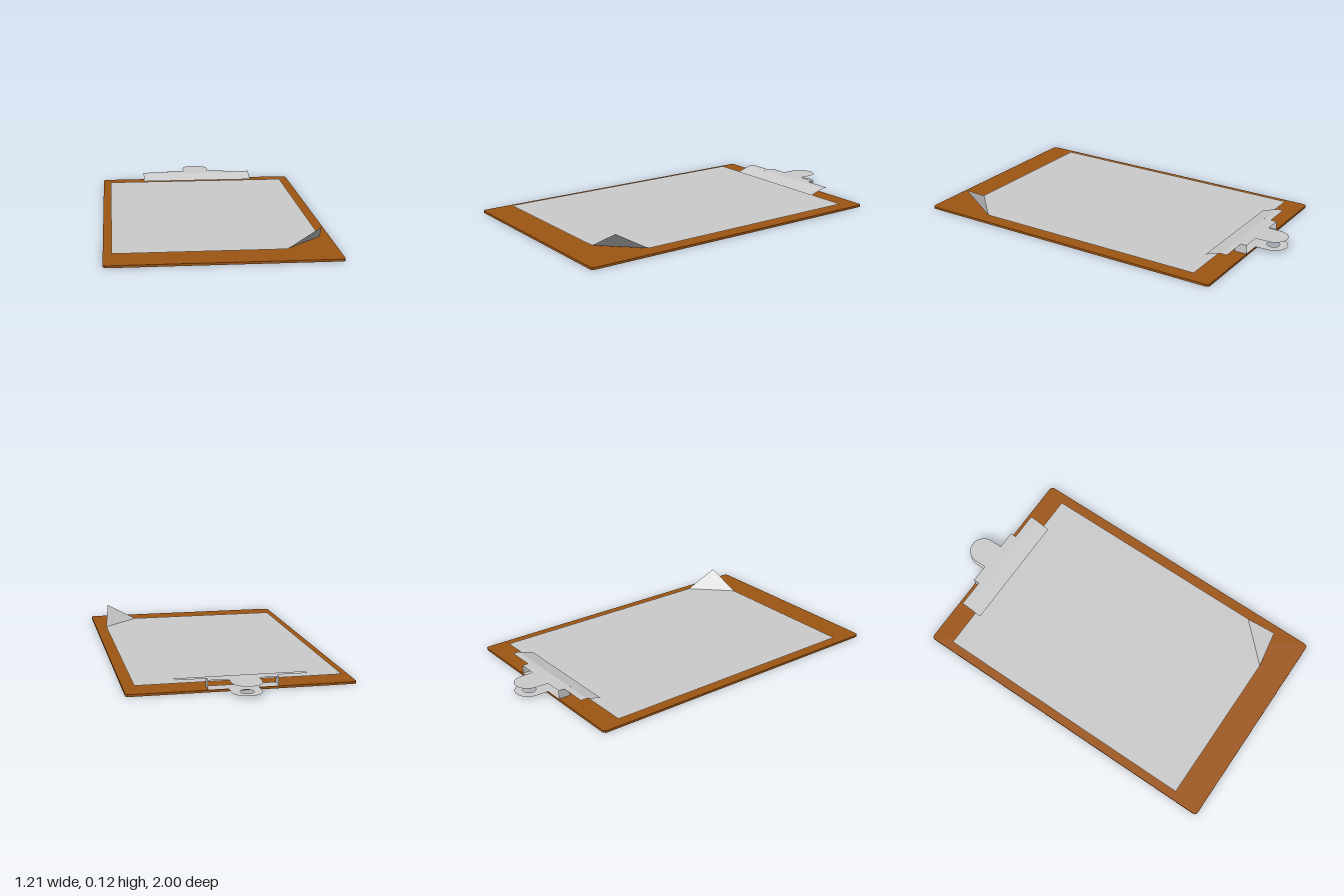
import * as THREE from 'three';

const wood = new THREE.MeshStandardMaterial({ color: 0x9e5513, flatShading: true });
const sheet = new THREE.MeshStandardMaterial({ color: 0xcccccc, side: THREE.DoubleSide, flatShading: true });

function part(name, geometry, material = sheet) {
  const mesh = new THREE.Mesh(geometry, material);
  mesh.name = name;
  return mesh;
}

const outline = (points) => new THREE.Shape(points.map(([a, b]) => new THREE.Vector2(a, b)));

// Lays an (x, z) shape flat at height y, facing up
function flat(shape, y) {
  const g = new THREE.ShapeGeometry(shape, 16).toNonIndexed();
  const p = g.attributes.position;
  for (let i = 0; i < p.count; i += 3) {
    const c = [0, 2, 1].map((k) => [p.getX(i + k), p.getY(i + k)]);
    c.forEach(([x, z], k) => p.setXYZ(i + k, x, y, z));
  }
  g.computeVertexNormals();
  return g;
}

function polygon(corners) {
  const g = new THREE.BufferGeometry();
  g.setAttribute('position', new THREE.Float32BufferAttribute(corners.flat(), 3));
  g.setIndex(corners.length === 3 ? [0, 1, 2] : [0, 1, 2, 0, 2, 3]);
  g.computeVertexNormals();
  return g;
}

function createBoard() {
  const w = 0.605, back = -0.85, front = 1, r = 0.022;
  const s = new THREE.Shape();
  s.moveTo(-w + r, back);
  s.lineTo(w - r, back);
  s.quadraticCurveTo(w, back, w, back + r);
  s.lineTo(w, front - r);
  s.quadraticCurveTo(w, front, w - r, front);
  s.lineTo(-w + r, front);
  s.quadraticCurveTo(-w, front, -w, front - r);
  s.lineTo(-w, back + r);
  s.quadraticCurveTo(-w, back, -w + r, back);
  const g = new THREE.ExtrudeGeometry(s, { depth: 0.012, bevelEnabled: false, curveSegments: 3 });
  g.rotateX(Math.PI / 2).translate(0, 0.012, 0);
  return part('board', g, wood);
}

function createPaper() {
  const paper = new THREE.Group();
  paper.name = 'paper';
  const y = 0.022;
  paper.add(part('paperSheet', flat(outline([
    [-0.56, -0.73], [0.545, -0.73], [0.545, 0.625], [0.335, 0.835], [-0.56, 0.835],
  ]), y)));
  // Corner curled up along the diagonal
  paper.add(part('liftedCorner', polygon([[0.545, y, 0.625], [0.335, y, 0.835], [0.515, 0.125, 0.805]])));
  return paper;
}

// Plate with a narrow neck ending in a round thumb tab
function tabPlate(front, halfWidth, shoulders) {
  const r = 0.08;
  const s = new THREE.Shape();
  s.moveTo(-halfWidth, front);
  s.lineTo(halfWidth, front);
  shoulders.forEach(([x, z]) => s.lineTo(x, z));
  s.lineTo(r, -0.85);
  s.lineTo(r, -0.92);
  s.absarc(0, -0.92, r, 0, -Math.PI, true);
  s.lineTo(-r, -0.85);
  [...shoulders].reverse().forEach(([x, z]) => s.lineTo(-x, z));
  return s;
}

function createClip() {
  const clip = new THREE.Group();
  clip.name = 'clip';
  const top = 0.063, w = 0.345, bodyW = 0.185;

  // Upper jaw: flat plate and sloping lip
  const upper = tabPlate(-0.78, w, [[w, -0.815], [bodyW, -0.815], [bodyW, -0.85]]);
  clip.add(part('upperPlate', flat(upper, top)));
  clip.add(part('pressingLip', polygon([
    [-w, top, -0.78], [-w, 0.035, -0.69], [w, 0.035, -0.69], [w, top, -0.78],
  ])));

  // Lower jaw with a hanging hole in its tab
  const lower = tabPlate(-0.78, bodyW, [[bodyW, -0.85]]);
  lower.holes.push(new THREE.Path().absarc(0, -0.92, 0.035, 0, Math.PI * 2, false));
  clip.add(part('lowerPlate', flat(lower, 0.014)));

  // Side cheeks joining the jaws
  const cheek = new THREE.ShapeGeometry(outline([
    [0.85, 0.013], [0.775, 0.013], [0.785, 0.03], [0.785, 0.05], [0.775, top], [0.85, top],
  ]));
  cheek.rotateY(Math.PI / 2);
  for (const side of [-1, 1]) {
    const mesh = part(side > 0 ? 'leftCheek' : 'rightCheek', cheek);
    mesh.position.x = side * bodyW;
    clip.add(mesh);
  }
  return clip;
}

export function createModel() {
  const model = new THREE.Group();
  model.name = 'clipboard';
  model.add(createBoard(), createPaper(), createClip());
  return model;
}
